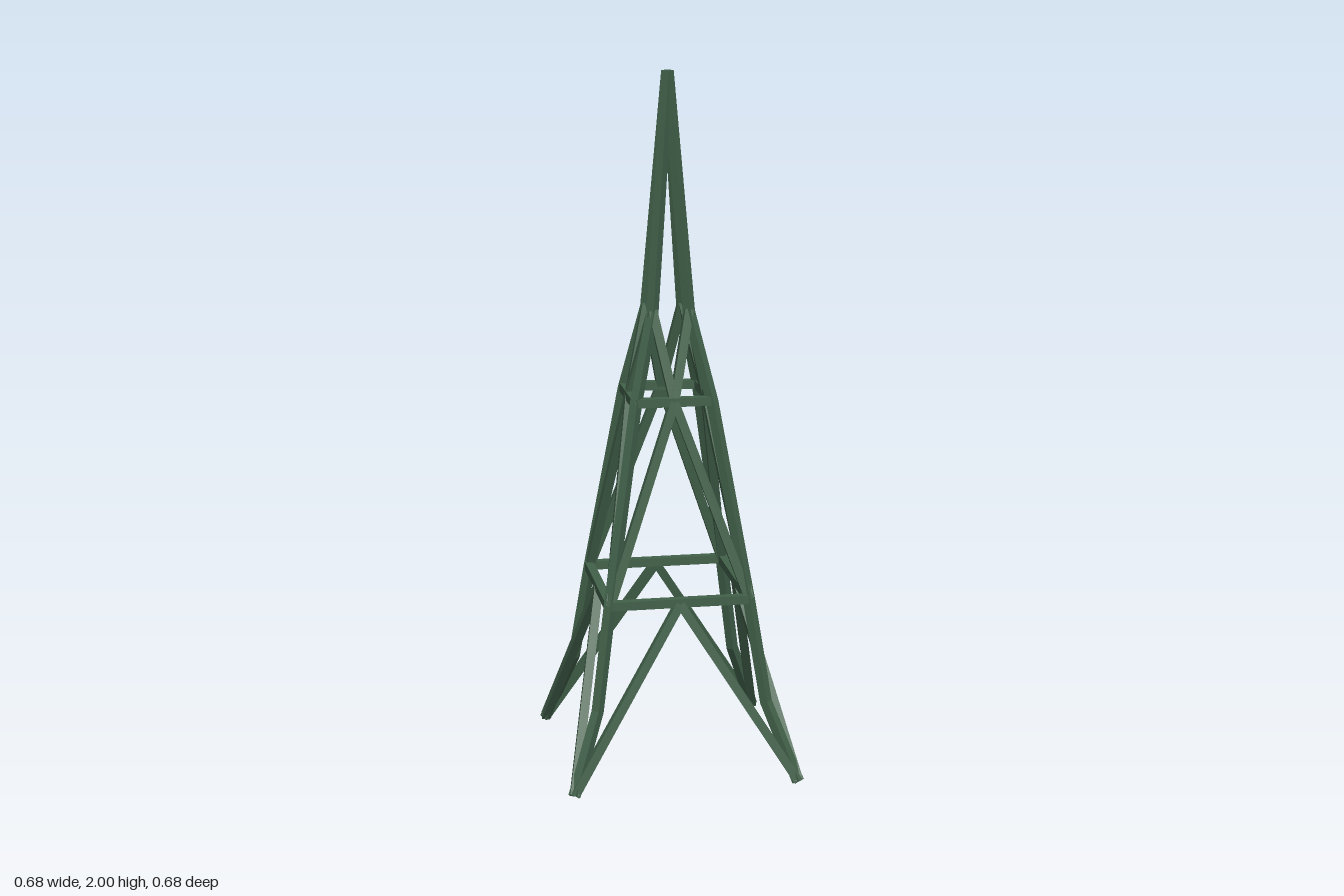
import * as THREE from 'three';

const W = 0.025; // thickness of every bar

export function createModel() {
  const green = new THREE.MeshStandardMaterial({ color: 0x42614a });
  green.name = 'dark green';
  const tower = new THREE.Group();
  tower.name = 'latticeTower';

  // Leg centre line in its diagonal plane: [offset along x and z, height]
  const path = [[0.322, 0.007], [0.243, 0.225], [0.2, 0.52], [0.109, 1.08], [0.052, 1.33], [0, 2]]
    .map(([x, y]) => new THREE.Vector2(x * Math.SQRT2, y));

  // Mitred outline of the bent leg
  const outer = [], inner = [];
  path.forEach((p, i) => {
    const before = p.clone().sub(path[Math.max(i - 1, 0)]).normalize();
    const after = path[Math.min(i + 1, path.length - 1)].clone().sub(p).normalize();
    const t = before.add(after).normalize();
    const n = i === path.length - 1 ? new THREE.Vector2(1, 0) : new THREE.Vector2(t.y, -t.x);
    outer.push(p.clone().addScaledVector(n, W / 2));
    inner.unshift(p.clone().addScaledVector(n, -W / 2));
  });
  const legGeometry = new THREE.ExtrudeGeometry(new THREE.Shape([...outer, ...inner]),
    { depth: W, bevelEnabled: false });
  legGeometry.translate(0, 0, -W / 2);

  // Straight square bar between two points on the +z side of the tower
  function bar(parent, name, a, b) {
    const from = new THREE.Vector3(...a), to = new THREE.Vector3(...b);
    const along = to.clone().sub(from);
    const mesh = new THREE.Mesh(new THREE.BoxGeometry(W, along.length(), W), green);
    const y = along.normalize();
    const x = new THREE.Vector3().crossVectors(y, new THREE.Vector3(0, 0, 1)).normalize();
    const z = new THREE.Vector3().crossVectors(x, y);
    mesh.quaternion.setFromRotationMatrix(new THREE.Matrix4().makeBasis(x, y, z));
    mesh.position.copy(from).add(to).multiplyScalar(0.5);
    mesh.name = name;
    parent.add(mesh);
  }

  for (let i = 0; i < 4; i++) {
    const leg = new THREE.Mesh(legGeometry, green);
    leg.name = 'leg';
    leg.rotation.y = Math.PI / 4 + i * Math.PI / 2;
    tower.add(leg);

    // One side of the lattice
    const side = new THREE.Group();
    side.name = 'sideBracing';
    side.rotation.y = i * Math.PI / 2;
    bar(side, 'lowerRingBar', [-0.2, 0.522, 0.202], [0.2, 0.522, 0.202]);
    bar(side, 'upperRingBar', [-0.11, 1.083, 0.11], [0.11, 1.083, 0.11]);
    for (const s of [-1, 1]) {
      bar(side, 'footBrace', [s * 0.322, 0.009, 0.322], [0, 0.518, 0.202]);
      bar(side, 'middleBrace', [s * 0.2, 0.52, 0.2], [0, 1.083, 0.11]);
      bar(side, 'upperBrace', [0, 1.083, 0.11], [s * 0.052, 1.335, 0.052]);
    }
    tower.add(side);
  }
  return tower;
}
